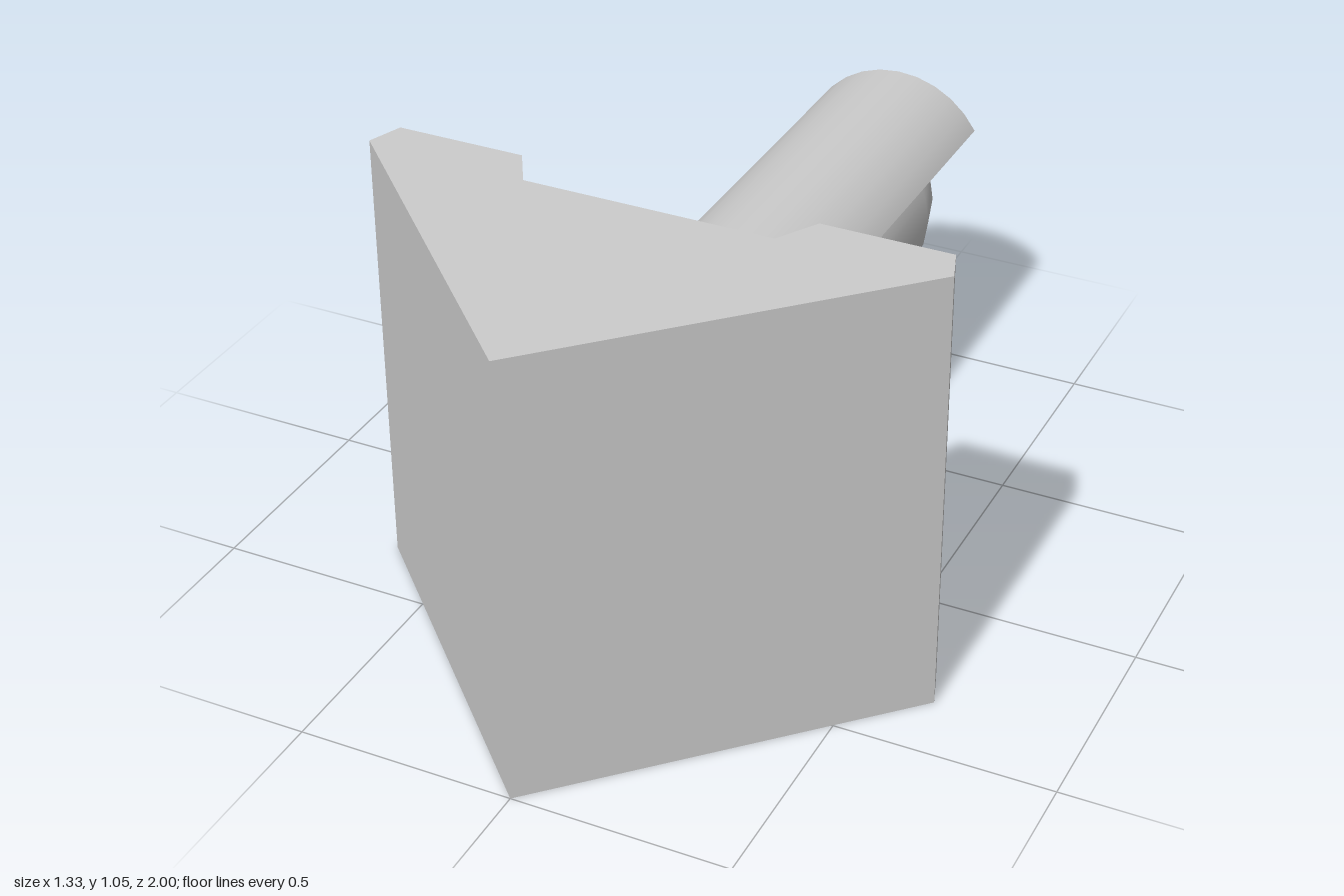
import * as THREE from 'three';
import { toCreasedNormals } from 'three/addons/utils/BufferGeometryUtils.js';

const grey = new THREE.MeshStandardMaterial({ color: 0xcccccc });
grey.name = 'light grey';
const sheetGrey = grey; // one colour throughout
const AXIS_Y = 0.53;

function outline(points) {
  return new THREE.Shape(points.map(([a, b]) => new THREE.Vector2(a, b)));
}

// Outline given as [x, z], raised along y from the ground
function extrudeUp(points, height) {
  const g = new THREE.ExtrudeGeometry(outline(points.map(([x, z]) => [x, -z])), { depth: height, bevelEnabled: false });
  return g.rotateX(-Math.PI / 2);
}

// Outline given as [z, y], spread evenly across x
function extrudeAcross(points, width) {
  const g = new THREE.ExtrudeGeometry(outline(points.map(([z, y]) => [-z, y])), { depth: width, bevelEnabled: false });
  return g.translate(0, 0, -width / 2).rotateY(Math.PI / 2);
}

// Profile given as [radius, z] from large z to small z, turned around the z axis
function turn(points, sides, phase = 0, crease = 0.5) {
  const g = new THREE.LatheGeometry(points.map(([r, z]) => new THREE.Vector2(r, -z)), sides, phase);
  return toCreasedNormals(g.rotateX(-Math.PI / 2), crease);
}

export function createModel() {
  const model = new THREE.Group();
  model.name = 'cornerCamera';
  const add = (name, geometry, x = 0, y = 0, z = 0, material = grey) => {
    const mesh = new THREE.Mesh(geometry, material);
    mesh.name = name;
    mesh.position.set(x, y, z);
    model.add(mesh);
    return mesh;
  };

  // Wedge-shaped corner block with a channel in its back
  add('cornerBlock', extrudeUp([
    [0, 1], [0.663, 0.335], [0.635, 0.255], [0.34, 0.255], [0.285, 0.35],
    [-0.285, 0.35], [-0.34, 0.255], [-0.635, 0.255], [-0.663, 0.335],
  ], 1.05));

  // Four hexagonal bolts
  const bolt = turn([[0.052, 0.26], [0.052, 0.232], [0.034, 0.205], [0, 0.205]], 6, Math.PI / 6, 0.1);
  for (const x of [-0.485, 0.485]) {
    for (const y of [0.22, 0.835]) add('bolt', bolt, x, y);
  }

  // Octagonal flange and swivel joint
  add('flange', turn([[0.205, 0.352], [0.205, 0.325], [0.19, 0.31], [0, 0.31]], 8, Math.PI / 8, 0.1), 0, AXIS_Y);
  add('swivelJoint', extrudeAcross([
    [0.32, 0.65], [0.255, 0.65], [0.178, 0.61], [0.135, 0.525], [0.165, 0.43], [0.255, 0.405], [0.32, 0.405],
  ], 0.24));
  const pivot = new THREE.CylinderGeometry(0.028, 0.028, 0.25, 10).rotateZ(Math.PI / 2);
  add('pivotScrew', pivot, 0, 0.525, 0.245);

  // Arm reaching from the joint to the underside of the housing
  add('arm', extrudeAcross([
    [0.2, 0.575], [0.15, 0.583], [0.08, 0.585], [-0.05, 0.36], [-0.05, 0.312], [0.09, 0.385], [0.2, 0.425],
  ], 0.14));

  // Camera housing with tapered ends and a recessed front
  add('housing', turn([
    [0, 0.095], [0.175, 0.095], [0.2, -0.06], [0.2, -0.72], [0.166, -0.832], [0.12, -0.79],
  ], 20), 0, AXIS_Y);

  // Shallow domed lens
  add('lens', turn([[0.12, -0.79], [0.08, -0.802], [0.04, -0.809], [0, -0.811]], 20, 0, 0.8), 0, AXIS_Y);

  // Thin curved sun shield: outer and inner skins
  const half = Math.asin(0.203 / 0.235);
  for (const [name, r, inside] of [['sunShield', 0.235, false], ['sunShieldLining', 0.231, true]]) {
    const g = new THREE.CylinderGeometry(r, r, 0.95, 10, 1, true, -half, 2 * half).rotateX(-Math.PI / 2);
    if (inside) {
      // Turn the lining to face inwards
      const index = g.index.array;
      for (let i = 0; i < index.length; i += 3) [index[i], index[i + 1]] = [index[i + 1], index[i]];
      g.computeVertexNormals();
    }
    add(name, g, 0, 0.525, -0.525, sheetGrey);
  }
  return model;
}
